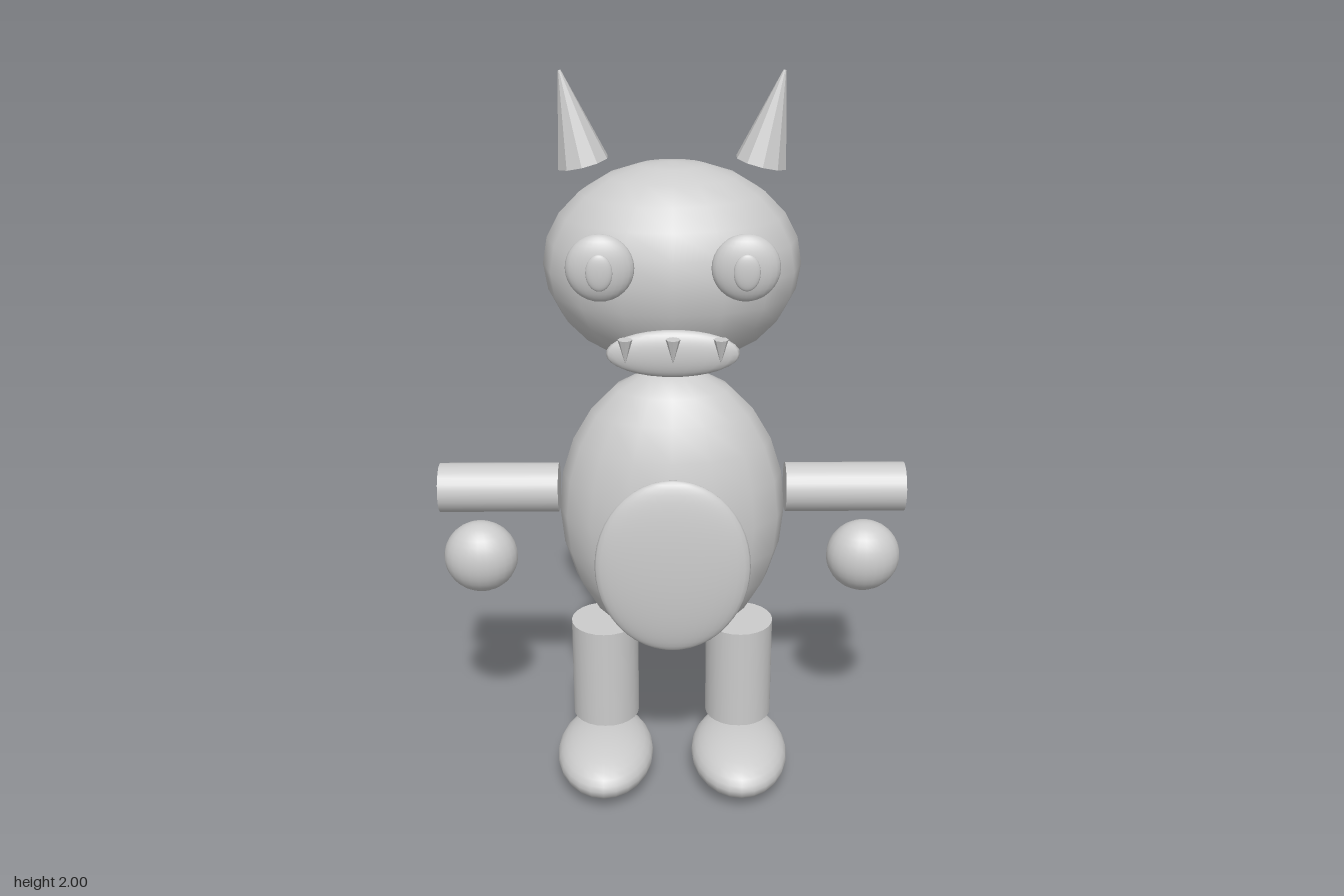
import * as THREE from 'three';

const material = new THREE.MeshStandardMaterial({ color: 0xcccccc });
const facetMaterial = new THREE.MeshStandardMaterial({ color: 0xcccccc, flatShading: true });

export function createModel() {
  const model = new THREE.Group();
  model.name = 'hornedCreature';

  const add = (name, geometry, position, mat = material) => {
    const mesh = new THREE.Mesh(geometry, mat);
    mesh.name = name;
    mesh.position.set(...position);
    model.add(mesh);
    return mesh;
  };

  // Ellipsoid given by its centre and three radii
  const ellipsoid = (name, position, radii, segments = 24, rings = 16) =>
    add(name, new THREE.SphereGeometry(1, segments, rings).scale(...radii), position);

  // Head, body and belly patch
  ellipsoid('head', [0, 1.507, 0.073], [0.335, 0.267, 0.25], 16, 12);
  ellipsoid('body', [0, 0.81, 0.073], [0.31, 0.41, 0.205], 16, 12);
  ellipsoid('belly', [0, 0.75, 0.323], [0.206, 0.25, 0.042], 32, 24);

  // Mouth with three teeth pointing down
  ellipsoid('mouth', [0, 1.372, 0.397], [0.163, 0.06, 0.025]);
  for (const x of [-0.115, 0, 0.115]) {
    const tooth = new THREE.ConeGeometry(0.018, 0.062, 8).rotateX(Math.PI);
    add('tooth', tooth, [x, 1.39, 0.436], facetMaterial);
  }

  // Paired parts, mirrored across x
  for (const [side, s] of [['left', 1], ['right', -1]]) {
    ellipsoid(`${side}Eye`, [s * 0.175, 1.582, 0.38], [0.083, 0.083, 0.034]);
    ellipsoid(`${side}Pupil`, [s * 0.175, 1.582, 0.424], [0.032, 0.045, 0.011]);

    // Horn leaning outward
    const horn = new THREE.CylinderGeometry(0.004, 0.067, 0.236, 10);
    add(`${side}Horn`, horn, [s * 0.252, 1.884, 0.073], facetMaterial).rotation.z = -s * 0.23;

    // Arm and its separate hand
    const arm = new THREE.CylinderGeometry(0.068, 0.068, 0.328, 24).rotateZ(Math.PI / 2);
    add(`${side}Arm`, arm, [s * 0.475, 0.868, 0.07]);
    ellipsoid(`${side}Hand`, [s * 0.535, 0.663, 0.083], [0.103, 0.103, 0.084]);

    // Leg and foot
    add(`${side}Leg`, new THREE.CylinderGeometry(0.095, 0.095, 0.3, 24), [s * 0.192, 0.305, 0.073]);
    ellipsoid(`${side}Foot`, [s * 0.192, 0.079, 0.177], [0.137, 0.077, 0.206]);
  }

  // Tail widening backward and down; narrow end sits inside the body
  const tailLength = 0.42;
  const tail = new THREE.CylinderGeometry(0.108, 0.03, tailLength, 10)
    .translate(0, -tailLength / 2, 0)
    .rotateX(-Math.PI / 2 - 0.34);
  add('tail', tail, [0, 0.614, -0.42], facetMaterial);

  return model;
}
